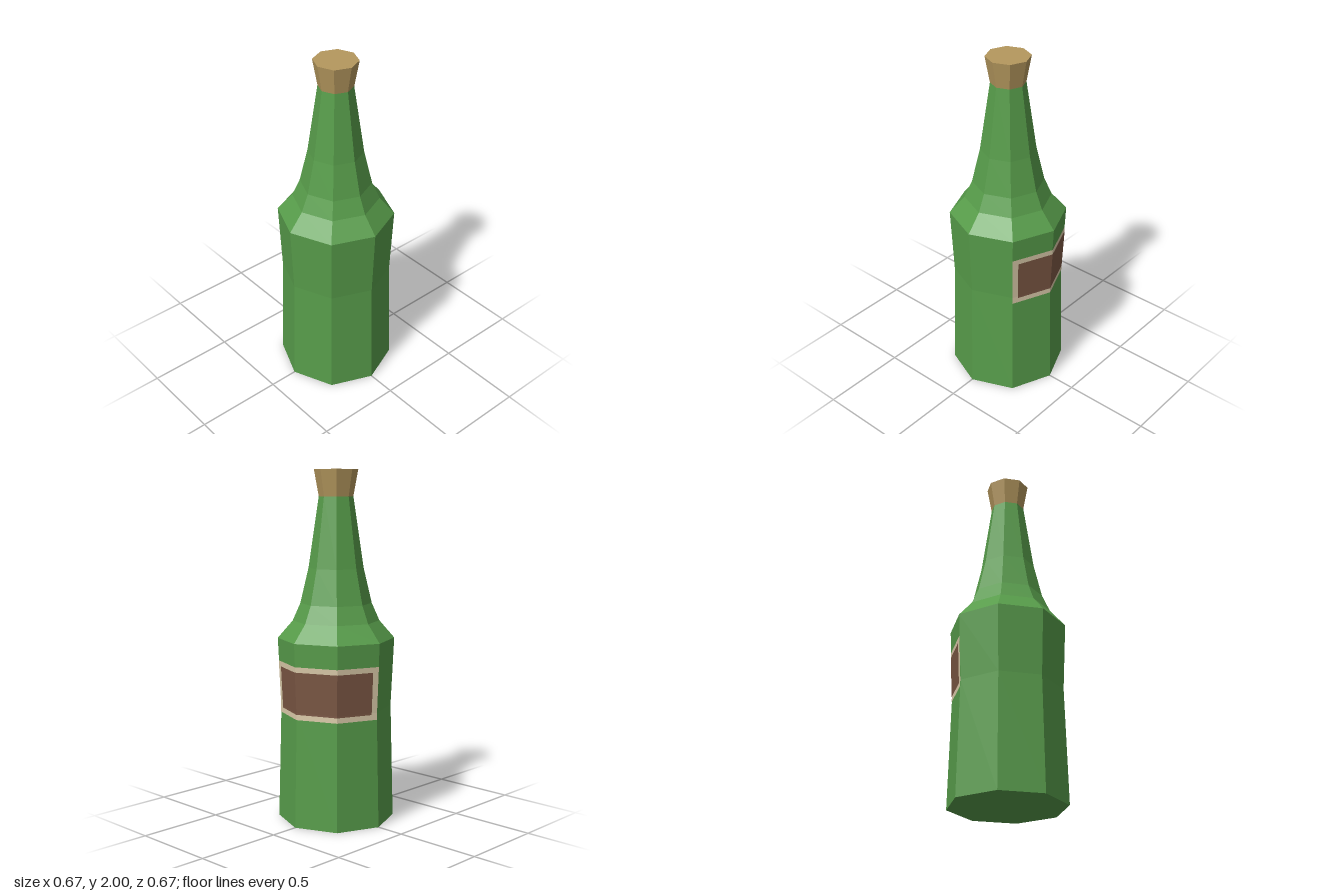
import * as THREE from 'three';

const SIDES = 8;
const WAIST = 0.66;

function part(name, geometry, color) {
  const material = new THREE.MeshStandardMaterial({ color, flatShading: true });
  const mesh = new THREE.Mesh(geometry, material);
  mesh.name = name;
  return mesh;
}

function lathe(profile) {
  return new THREE.LatheGeometry(profile.map(([r, y]) => new THREE.Vector2(r, y)), SIDES);
}

// Radius of the pinched lower body at height y
function bodyRadius(y) {
  return y < WAIST
    ? THREE.MathUtils.lerp(0.333, 0.315, y / WAIST)
    : THREE.MathUtils.lerp(0.315, 0.333, (y - WAIST) / (1.05 - WAIST));
}

// Point on the octagonal wall; u counts sides from the front-left corner towards the back
function wallPoint(u, y, lift) {
  const side = Math.floor(u);
  const corner = (i) => {
    const a = (i + 1) * Math.PI * 2 / SIDES;
    return new THREE.Vector3(Math.sin(a), 0, Math.cos(a)).multiplyScalar(bodyRadius(y) + lift);
  };
  return corner(side).lerp(corner(side + 1), u - side).setY(y);
}

// Sheet wrapped over three sides, inset at both ends
function wrap(inset, heights, lift) {
  const columns = [inset, 1, 2, 3 - inset];
  const positions = [];
  const indices = [];
  for (const y of heights) for (const u of columns) positions.push(...wallPoint(u, y, lift).toArray());
  for (let row = 0; row < heights.length - 1; row++) {
    for (let col = 0; col < 3; col++) {
      const a = row * 4 + col;
      indices.push(a, a + 1, a + 5, a, a + 5, a + 4);
    }
  }
  const geometry = new THREE.BufferGeometry();
  geometry.setAttribute('position', new THREE.Float32BufferAttribute(positions, 3));
  geometry.setIndex(indices);
  geometry.computeVertexNormals();
  return geometry;
}

export function createModel() {
  const bottle = new THREE.Group();
  bottle.name = 'bottle';

  // Glass: base, pinched body, shoulder and neck
  bottle.add(part('glass', lathe([
    [0, 0], [0.333, 0], [0.315, WAIST], [0.333, 1.05], [0.247, 1.15],
    [0.203, 1.25], [0.156, 1.45], [0.097, 1.85], [0, 1.85],
  ]), 0x579c4a));

  // Flared cork
  bottle.add(part('cork', lathe([[0.097, 1.85], [0.124, 2], [0, 2]]), 0xb5985e));

  // Label: pale border with a dark panel on top
  bottle.add(part('labelBorder', wrap(0, [0.62, WAIST, 0.92], 0.0015), 0xd9c9a8));
  bottle.add(part('labelPanel', wrap(0.14, [0.65, WAIST, 0.89], 0.003), 0x7a5643));

  return bottle;
}
